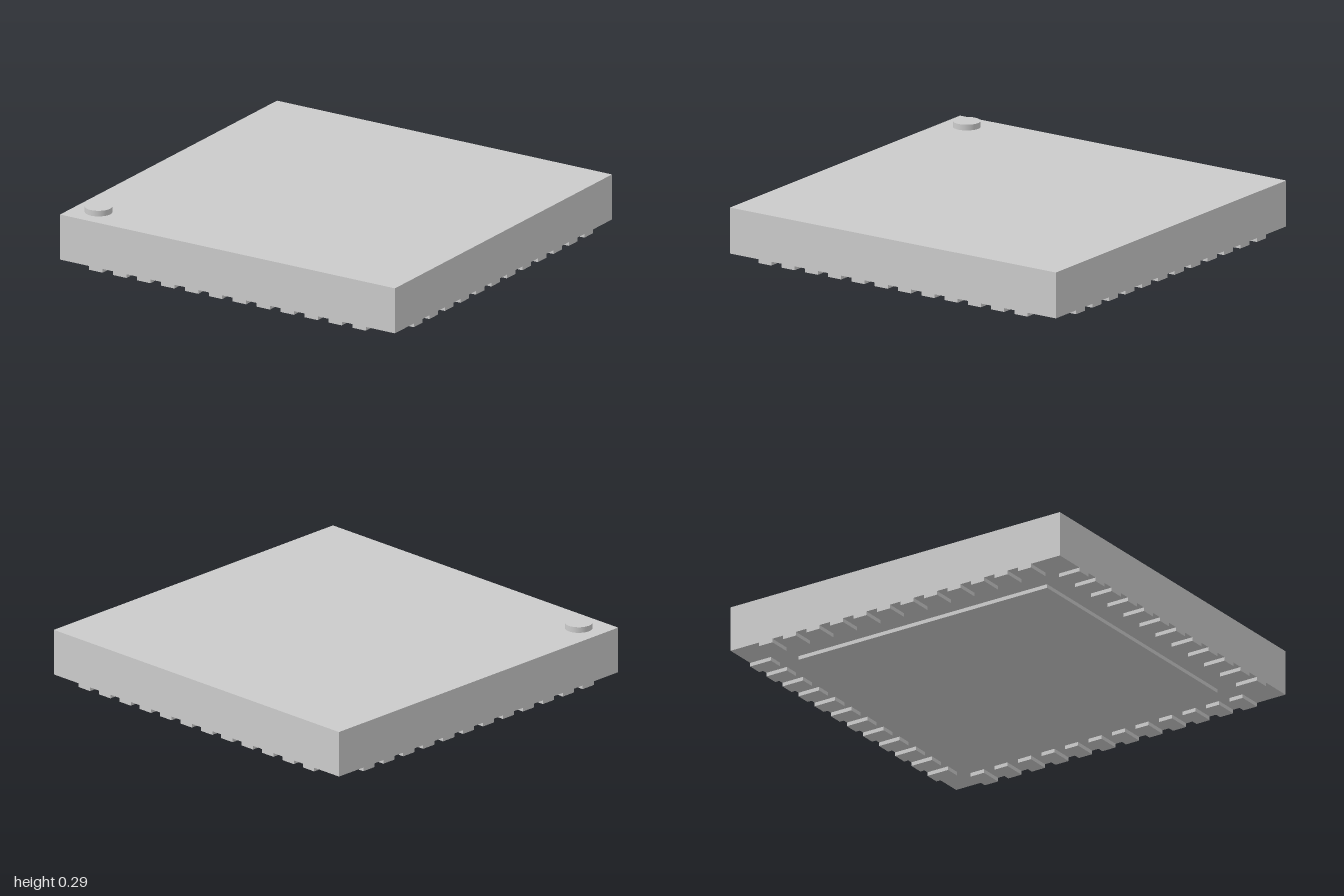
import * as THREE from 'three';

export function createModel() {
  const group = new THREE.Group();
  const material = new THREE.MeshStandardMaterial({ color: 0xcccccc });
  const PAD_H = 0.02, TOP = 0.26;

  function add(name, geometry, x, y, z, parent = group) {
    const mesh = new THREE.Mesh(geometry, material);
    mesh.name = name;
    mesh.position.set(x, y, z);
    parent.add(mesh);
    return mesh;
  }

  // Square package body
  add('body', new THREE.BoxGeometry(2, TOP - PAD_H, 2), 0, (TOP + PAD_H) / 2, 0);

  // Round orientation marker on the top, front corner
  add('cornerMarker', new THREE.CylinderGeometry(0.07, 0.07, 0.03, 48), -0.86, TOP + 0.015, 0.86);

  // Large central pad underneath
  add('centrePad', new THREE.BoxGeometry(1.51, PAD_H, 1.51), 0, PAD_H / 2, 0);

  // Twelve contact pads along each of the four edges
  const count = 12, pitch = 1 / 7, length = 0.125;
  const padGeometry = new THREE.BoxGeometry(0.08, PAD_H, length);
  ['front', 'left', 'back', 'right'].forEach((side, s) => {
    const row = new THREE.Group();
    row.name = side + 'Contacts';
    row.rotation.y = s * Math.PI / 2;
    for (let i = 0; i < count; i++) {
      add('contactPad', padGeometry, (i - (count - 1) / 2) * pitch, PAD_H / 2, 1 - length / 2, row);
    }
    group.add(row);
  });

  return group;
}
